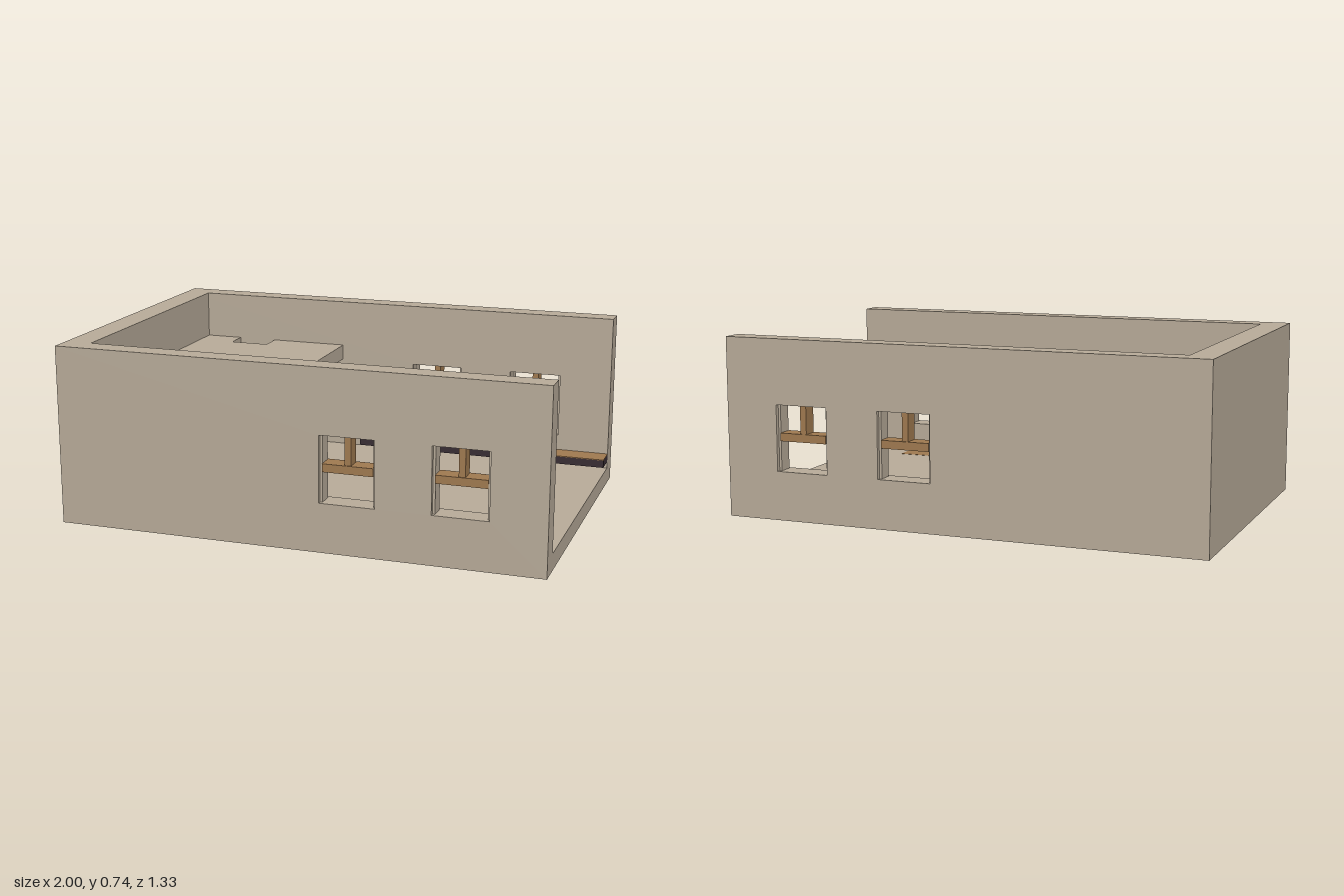
import * as THREE from 'three';

const mat = (color) => new THREE.MeshStandardMaterial({ color });
const plaster = mat(0xb8ab99);
const wood = mat(0xa07a50);
const dark = mat(0x382c33);

// Box given by its lower and upper corners
function box(parent, name, material, [x0, y0, z0], [x1, y1, z1]) {
  const mesh = new THREE.Mesh(new THREE.BoxGeometry(x1 - x0, y1 - y0, z1 - z0), material);
  mesh.position.set((x0 + x1) / 2, (y0 + y1) / 2, (z0 + z1) / 2);
  mesh.name = name;
  parent.add(mesh);
  return mesh;
}

function outline(points, Type) {
  return new Type(points.map(([x, y]) => new THREE.Vector2(x, y)));
}

const H = 0.735, W = 0.667, IN = 0.575, FLOOR = 0.07, BACK = -0.89;
const windows = [[0.108, 0.332], [0.555, 0.778]];
const SILL = 0.2, HEAD = 0.47;

// Long wall with two window openings
function longWall(name, z) {
  const shape = outline([[-1, 0], [1, 0], [1, H], [-1, H]], THREE.Shape);
  for (const [a, b] of windows) {
    shape.holes.push(outline([[a, SILL], [a, HEAD], [b, HEAD], [b, SILL]], THREE.Path));
  }
  const geo = new THREE.ExtrudeGeometry(shape, { depth: W - IN, bevelEnabled: false });
  const mesh = new THREE.Mesh(geo, plaster);
  mesh.position.z = z;
  mesh.name = name;
  return mesh;
}

// Window bars; side is +1 on the front wall and -1 on the back wall
function windowFrame(name, [a, b], side) {
  const g = new THREE.Group();
  g.name = name;
  const span = (inner, outer) => [side * inner, side * outer].sort((p, q) => p - q);
  const part = (n, m, x0, x1, y0, y1, inner, outer) => {
    const [z0, z1] = span(inner, outer);
    box(g, n, m, [x0, y0, z0], [x1, y1, z1]);
  };
  const mid = (a + b) / 2;
  part('jambStrip', plaster, a, a + 0.01, SILL, HEAD, 0.59, 0.65);
  part('jambStrip', plaster, b - 0.01, b, SILL, HEAD, 0.59, 0.65);
  part('crossBar', wood, a + 0.01, b - 0.01, 0.322, 0.355, 0.584, 0.655);
  part('crossBarInnerFace', dark, a + 0.01, b - 0.01, 0.322, 0.354, 0.58, 0.584);
  part('mullion', wood, mid - 0.013, mid + 0.013, 0.355, HEAD, 0.59, 0.65);
  return g;
}

export function createModel() {
  const model = new THREE.Group();
  model.name = 'openRoom';

  // Shell: floor, end wall and the two long walls
  box(model, 'floor', plaster, [BACK, 0, -IN], [1, FLOOR, IN]);
  box(model, 'endWall', plaster, [-1, 0, -IN], [BACK, H, IN]);
  model.add(longWall('frontWall', IN), longWall('backWall', -W));
  for (const w of windows) {
    model.add(windowFrame('frontWindow', w, 1), windowFrame('backWindow', w, -1));
  }

  // Mezzanine with a notch for the ladder; shape y becomes -z
  const plan = outline([
    [BACK, -IN], [-0.225, -IN], [-0.225, IN], [-0.56, IN],
    [-0.56, 0.475], [-0.73, 0.475], [-0.73, IN], [BACK, IN],
  ], THREE.Shape);
  const slab = new THREE.ExtrudeGeometry(plan, { depth: 0.065, bevelEnabled: false });
  slab.rotateX(-Math.PI / 2);
  const mezzanine = new THREE.Mesh(slab, plaster);
  mezzanine.position.y = 0.47;
  mezzanine.name = 'mezzanine';
  model.add(mezzanine);

  // Low shelf along the back wall
  box(model, 'shelf', dark, [-0.11, 0.1, -IN], [1, 0.132, -0.475]);
  box(model, 'shelfTop', wood, [-0.11, 0.132, -IN], [1, 0.135, -0.475]);

  // Bench along the end wall, under the mezzanine
  box(model, 'bench', dark, [BACK, FLOOR, -0.45], [-0.78, 0.142, IN]);
  box(model, 'benchTop', wood, [BACK, 0.142, -0.45], [-0.78, 0.145, IN]);

  // Flat wooden inlay on the floor by the front wall
  box(model, 'floorInlay', wood, [0.555, FLOOR - 0.01, 0.475], [0.778, FLOOR + 0.001, IN]);

  return model;
}
